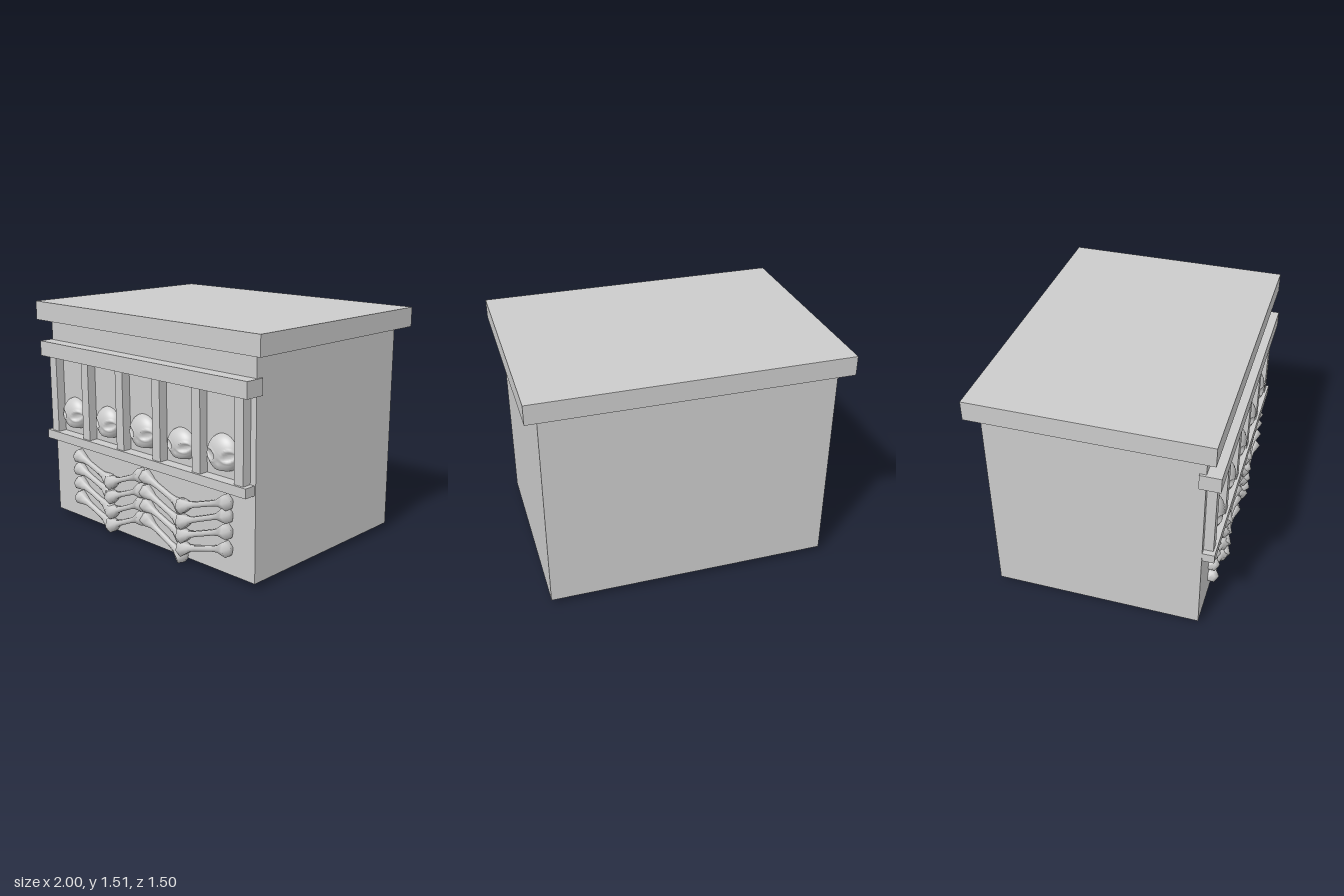
import * as THREE from 'three';

const material = new THREE.MeshStandardMaterial({ color: 0xcccccc });

function add(parent, name, geometry) {
  const mesh = new THREE.Mesh(geometry, material);
  mesh.name = name;
  parent.add(mesh);
  return mesh;
}

// Box given by its limits on each axis
function box(parent, name, x0, x1, y0, y1, z0, z1) {
  const mesh = add(parent, name, new THREE.BoxGeometry(x1 - x0, y1 - y0, z1 - z0));
  mesh.position.set((x0 + x1) / 2, (y0 + y1) / 2, (z0 + z1) / 2);
}

// Skull: sphere with a tapered flat jaw and two slanted, hollow eye sockets
function skullGeometry() {
  const geo = new THREE.SphereGeometry(1, 56, 40);
  const p = geo.attributes.position;
  for (let i = 0; i < p.count; i++) {
    let x = p.getX(i) * 0.12, y = p.getY(i) * 0.115, z = p.getZ(i) * 0.075;
    if (y < -0.02) {
      const t = (-0.02 - y) / 0.095;
      x *= 1 - 0.1 * t;
      z *= 1 + 0.15 * t;
    }
    y = Math.max(y, -0.09);
    if (z > 0) {
      // distance from the socket centre, in socket radii
      const dx = Math.abs(x) - 0.067, dy = y + 0.002;
      const u = (dx * 0.94 + dy * 0.34) / 0.038;
      const v = (dy * 0.94 - dx * 0.34) / 0.026;
      const d = Math.hypot(u, v);
      if (d < 1) z -= 0.016 * Math.sqrt(1 - d * d);
      else if (d < 1.5) z += 0.005 * Math.sin((d - 1) * 2 * Math.PI);
      // nose hollow
      const n = Math.hypot(x / 0.014, (y + 0.038) / 0.018);
      if (n < 1) z -= 0.006 * (1 - n * n);
    }
    p.setXYZ(i, x, y, z);
  }
  geo.computeVertexNormals();
  return geo;
}

// Six-sided bone along y, with a flared knob at each end
function boneGeometry(length) {
  const h = length / 2;
  const end = [[0, 0.03], [0.03, 0.024], [0.054, 0], [0.043, -0.03], [0.024, -0.075], [0.019, -0.12]];
  const lower = end.map(([r, y]) => new THREE.Vector2(r, -h - y));
  const upper = end.map(([r, y]) => new THREE.Vector2(r, h + y)).reverse();
  return new THREE.LatheGeometry([...lower, ...upper], 6);
}

export function createModel() {
  const model = new THREE.Group();
  model.name = 'boneAltar';

  // Main block and slab
  box(model, 'body', -0.92, 0.92, 0.05, 1.395, -0.68, 0.66);
  box(model, 'topSlab', -1, 1, 1.395, 1.52, -0.75, 0.725);

  // Front niche frame
  box(model, 'upperRail', -0.935, 0.93, 1.16, 1.26, 0.62, 0.75);
  box(model, 'lowerRail', -0.915, 0.91, 0.585, 0.645, 0.64, 0.735);
  for (const x of [-0.845, -0.51, -0.17, 0.168, 0.508, 0.845]) {
    box(model, 'nichePost', x - 0.034, x + 0.034, 0.645, 1.16, 0.65, 0.72);
  }

  // Skulls: x, width scale, height scale, turn
  const skulls = new THREE.Group();
  skulls.name = 'skulls';
  model.add(skulls);
  const skullGeo = skullGeometry();
  [[-0.685, 0.96, 0.97, 0], [-0.342, 0.92, 0.95, 0], [0, 1, 1, 0],
    [0.338, 0.94, 0.89, 0], [0.678, 0.95, 1.03, 0.12]].forEach(([x, sx, sy, turn]) => {
    const skull = add(skulls, 'skull', skullGeo);
    skull.position.set(x, 0.695 + 0.09 * sy, 0.655);
    skull.scale.set(sx, sy, 1);
    skull.rotation.y = turn;
  });

  // Zigzag bones: joint columns, then start and end heights row by row
  const bones = new THREE.Group();
  bones.name = 'bones';
  model.add(bones);
  const spans = [
    { x: [-0.655, -0.335], y: [[0.5, 0.39], [0.41, 0.3], [0.31, 0.19], [0.205, 0.085]] },
    { x: [-0.325, -0.01], y: [[0.385, 0.505], [0.285, 0.405], [0.18, 0.315], [0.085, 0.22]] },
    { x: [0.01, 0.345], y: [[0.505, 0.38], [0.405, 0.27], [0.315, 0.185], [0.22, 0.057]] },
    { x: [0.345, 0.725], y: [[0.39, 0.51], [0.29, 0.43], [0.2, 0.33], [0.115, 0.22]] },
  ];
  spans.forEach(({ x: [xa, xb], y }, column) => y.forEach(([ya, yb]) => {
    const bone = add(bones, 'bone', boneGeometry(Math.hypot(xb - xa, yb - ya)));
    bone.position.set((xa + xb) / 2, (ya + yb) / 2, column % 2 ? 0.685 : 0.675);
    bone.rotation.z = Math.atan2(yb - ya, xb - xa) - Math.PI / 2;
  }));

  return model;
}
